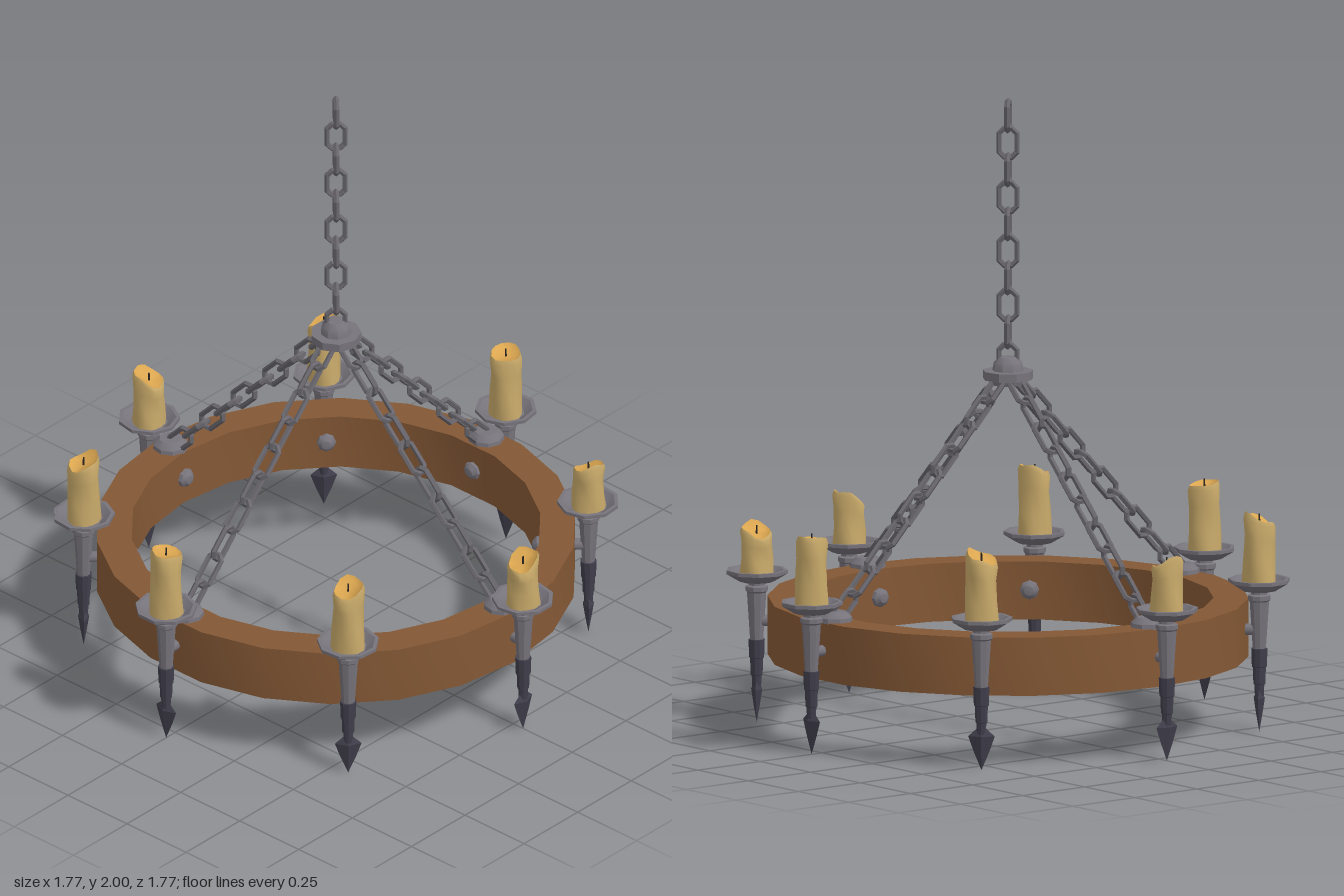
import * as THREE from 'three';
import { toCreasedNormals } from 'three/addons/utils/BufferGeometryUtils.js';

const paint = (name, color, extra = {}) => {
  const m = new THREE.MeshStandardMaterial({ color, ...extra });
  m.name = name;
  return m;
};

export function createModel() {
  const wood = paint('wood', 0x845835);
  const iron = paint('iron', 0x77737b);
  const darkIron = paint('darkIron', 0x403e4b);
  const chainIron = paint('chainIron', 0x68666c, { flatShading: true });
  const wax = paint('wax', 0xc9aa6a);
  const meltedWax = paint('meltedWax', 0xdba650);
  const wickBlack = paint('wickBlack', 0x2c2624);

  const model = new THREE.Group();
  model.name = 'chandelier';

  const add = (parent, name, geometry, material) => {
    const mesh = new THREE.Mesh(geometry, material);
    mesh.name = name;
    parent.add(mesh);
    return mesh;
  };
  const rawLathe = (profile, sides) =>
    new THREE.LatheGeometry(profile.map(([r, y]) => new THREE.Vector2(r, y)), sides);
  const lathe = (profile, sides, crease = 0.55) => toCreasedNormals(rawLathe(profile, sides), crease);

  // Wooden hoop
  add(model, 'woodenRing', lathe(
    [[0.645, 0.23], [0.755, 0.23], [0.755, 0.415], [0.645, 0.415], [0.645, 0.23]], 22), wood);

  // Hub where the chains meet
  add(model, 'chainHub', lathe([
    [0, 1.09], [0.05, 1.09], [0.055, 1.105], [0.08, 1.108], [0.08, 1.135],
    [0.05, 1.135], [0.045, 1.16], [0.028, 1.178], [0, 1.178]], 9), iron);

  // Chain link: an eight-sided ring pulled long in y
  function linkGeometry(length, radius, tube) {
    const g = new THREE.TorusGeometry(radius, tube, 5, 8);
    g.rotateZ(Math.PI / 8);
    const flat = radius * Math.cos(Math.PI / 8);
    const pull = length / 2 - flat - tube;
    const p = g.attributes.position;
    for (let i = 0; i < p.count; i++) p.setY(i, p.getY(i) + Math.sign(p.getY(i)) * pull);
    return g;
  }
  function chain(name, geometry, count, pitch, twist) {
    const g = new THREE.Group();
    g.name = name;
    for (let i = 0; i < count; i++) {
      const link = add(g, 'link', geometry, chainIron);
      link.position.y = -i * pitch;
      link.rotation.y = twist + (i % 2) * Math.PI / 2;
    }
    model.add(g);
    return g;
  }

  // Hanging chain
  const hanging = chain('hangingChain', linkGeometry(0.11, 0.03, 0.0095), 10, 0.086, Math.PI / 4);
  hanging.position.y = 1.945;

  // Four sloping chains and their mounts on the hoop
  const slopeLink = linkGeometry(0.128, 0.028, 0.0095);
  const mountGeometry = lathe(
    [[0, 0.413], [0.058, 0.413], [0.056, 0.428], [0.036, 0.446], [0, 0.446]], 9);
  for (let k = 0; k < 4; k++) {
    const a = k * Math.PI / 2;
    const c = chain('slopingChain', slopeLink, 10, 0.0965, 0);
    c.rotation.set(-Math.atan2(0.067, 0.0695), a, 0, 'YXZ');
    c.position.set(0.055 * Math.sin(a), 1.083, 0.055 * Math.cos(a));
    const mount = add(model, 'chainMount', mountGeometry, iron);
    mount.position.set(0.7 * Math.sin(a), 0, 0.7 * Math.cos(a));
  }

  // Shared candle holder pieces
  const dish = lathe([
    [0, 0.448], [0.055, 0.45], [0.098, 0.476], [0.098, 0.487], [0.086, 0.487],
    [0.06, 0.468], [0, 0.468]], 9).rotateY(Math.PI);
  const stem = lathe([
    [0, 0.25], [0.02, 0.25], [0.031, 0.415], [0.036, 0.42], [0.036, 0.434],
    [0.026, 0.438], [0.026, 0.455]], 9);
  const spike = lathe([
    [0, 0.09], [0.013, 0.09], [0.016, 0.15], [0.019, 0.152], [0.021, 0.205],
    [0.024, 0.207], [0.026, 0.265], [0, 0.268]], 9);
  const tip = toCreasedNormals(rawLathe(
    [[0, 0], [0.025, 0.06], [0.042, 0.108], [0.012, 0.135], [0, 0.135]], 4).scale(1, 1, 0.42), 0.4);
  const bolt = lathe([[0, 0], [0.031, 0], [0.029, 0.012], [0.016, 0.024], [0, 0.027]], 8)
    .rotateX(-Math.PI / 2);
  const pin = new THREE.CylinderGeometry(0.018, 0.018, 0.07, 8).rotateX(Math.PI / 2);

  // Candle surface: slanted, uneven rim growing towards the top
  function melt(geometry, height, slant, heading) {
    const p = geometry.attributes.position;
    for (let i = 0; i < p.count; i++) {
      const x = p.getX(i), y = p.getY(i), z = p.getZ(i);
      const r = Math.hypot(x, z), a = Math.atan2(x, z), t = y / height;
      const edge = Math.min(1, r / 0.045);
      const swell = 1 + 0.05 * Math.sin(3 * a + heading + 5 * t);
      const lift = slant * Math.sin(a + heading) + 0.3 * slant * Math.sin(3 * a + 2 * heading);
      p.setXYZ(i, x * swell, y + lift * edge * t * t, z * swell);
    }
    return toCreasedNormals(geometry, 0.9);
  }

  // Candle tops: height, slant, heading; starting at the front and turning to the left
  const candles = [
    [0.625, 0.025, 0], [0.615, 0.02, 2.6], [0.69, 0.008, 1], [0.68, 0.02, 3.6],
    [0.635, 0.02, 1.2], [0.68, 0.02, 4.4], [0.69, 0.008, 2], [0.685, 0.018, 5.4]];

  candles.forEach(([top, slant, heading], k) => {
    const holder = new THREE.Group();
    holder.name = 'candleHolder';
    holder.rotation.y = k * Math.PI / 4;
    model.add(holder);

    const post = new THREE.Group();
    post.name = 'candlePost';
    post.position.z = 0.792;
    holder.add(post);
    add(post, 'dripDish', dish, iron);
    add(post, 'stem', stem, iron);
    add(post, 'spike', spike, darkIron);
    add(post, 'spikeTip', tip, darkIron);

    // Fixing through the hoop
    add(holder, 'bolt', bolt, iron).position.set(0, 0.325, 0.641);
    add(holder, 'pin', pin, iron).position.set(0, 0.325, 0.765);

    // Candle, melted pool and wick
    const h = top - 0.465;
    const candle = new THREE.Group();
    candle.name = 'candle';
    candle.position.y = 0.465;
    post.add(candle);
    add(candle, 'candleBody', melt(rawLathe(
      [[0.054, 0], [0.051, h * 0.35], [0.048, h * 0.7], [0.051, h * 0.93], [0.046, h]], 12),
      h, slant, heading), wax);
    add(candle, 'candleTop', melt(rawLathe(
      [[0.046, h], [0.036, h - 0.008], [0, h - 0.014]], 12), h, slant, heading), meltedWax);
    add(candle, 'wick', new THREE.CylinderGeometry(0.0025, 0.0035, 0.03, 5), wickBlack)
      .position.y = h - 0.002;
  });

  return model;
}
